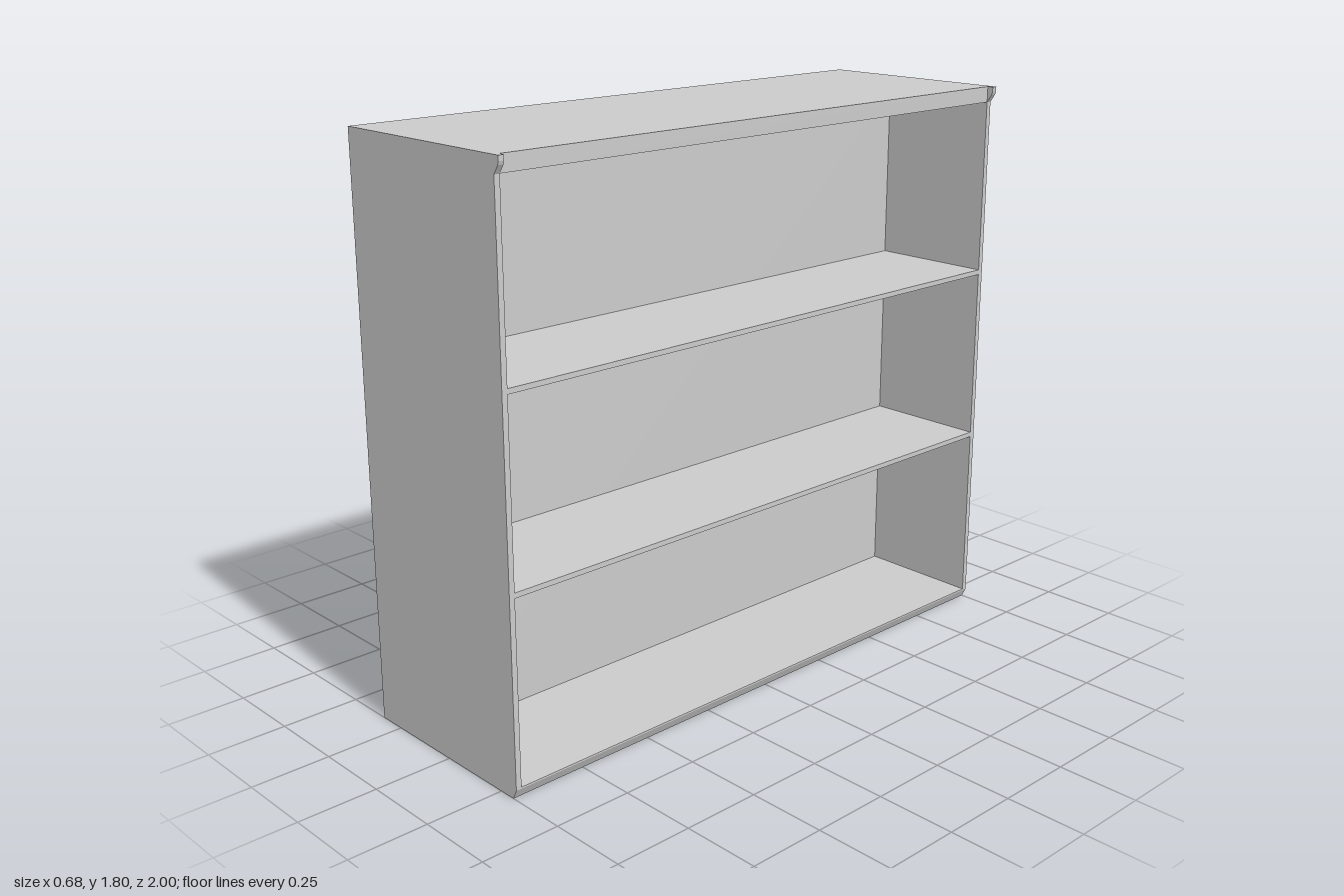
import * as THREE from 'three';

const material = new THREE.MeshStandardMaterial({ color: 0xcccccc, flatShading: true });
const BACK = -0.34, FRONT = 0.32, BACK_WALL = -0.09;
const HEIGHT = 1.8, SIDE = 0.018, INNER = 1 - SIDE;

// Extrudes an x/y profile along z, from z0 to z1.
function profilePart(name, points, z0, z1) {
  const shape = new THREE.Shape(points.map(([x, y]) => new THREE.Vector2(x, y)));
  const geometry = new THREE.ExtrudeGeometry(shape, { depth: z1 - z0, bevelEnabled: false });
  geometry.translate(0, 0, z0);
  const mesh = new THREE.Mesh(geometry, material);
  mesh.name = name;
  return mesh;
}

// Board spanning the width between the two side panels.
function board(name, x0, x1, y0, y1) {
  const mesh = new THREE.Mesh(new THREE.BoxGeometry(x1 - x0, y1 - y0, 2 * INNER), material);
  mesh.position.set((x0 + x1) / 2, (y0 + y1) / 2, 0);
  mesh.name = name;
  return mesh;
}

export function createModel() {
  const group = new THREE.Group();
  group.name = 'openShelfCabinet';

  // Side panels: chamfered toe and a small hooked lip at the top of the open edge
  const sideProfile = [
    [BACK, 0], [0.305, 0], [FRONT, 0.03], [FRONT, 1.75],
    [0.337, 1.775], [0.34, 1.785], [0.34, HEIGHT], [BACK, HEIGHT],
  ];
  group.add(profilePart('leftEndPanel', sideProfile, INNER, 1));
  group.add(profilePart('rightEndPanel', sideProfile, -1, -INNER));

  // Base with chamfered toe
  group.add(profilePart('base', [
    [BACK, 0], [0.305, 0], [FRONT, 0.03], [FRONT, 0.035], [BACK, 0.035],
  ], -INNER, INNER));

  // Top and the deep rear section
  group.add(board('top', BACK, FRONT, 1.75, HEIGHT));
  group.add(board('backSection', BACK, BACK_WALL, 0.035, 1.75));

  // Shelves
  for (const y of [0.605, 1.177]) {
    group.add(board('shelf', BACK_WALL, FRONT, y, y + 0.016));
  }
  return group;
}
